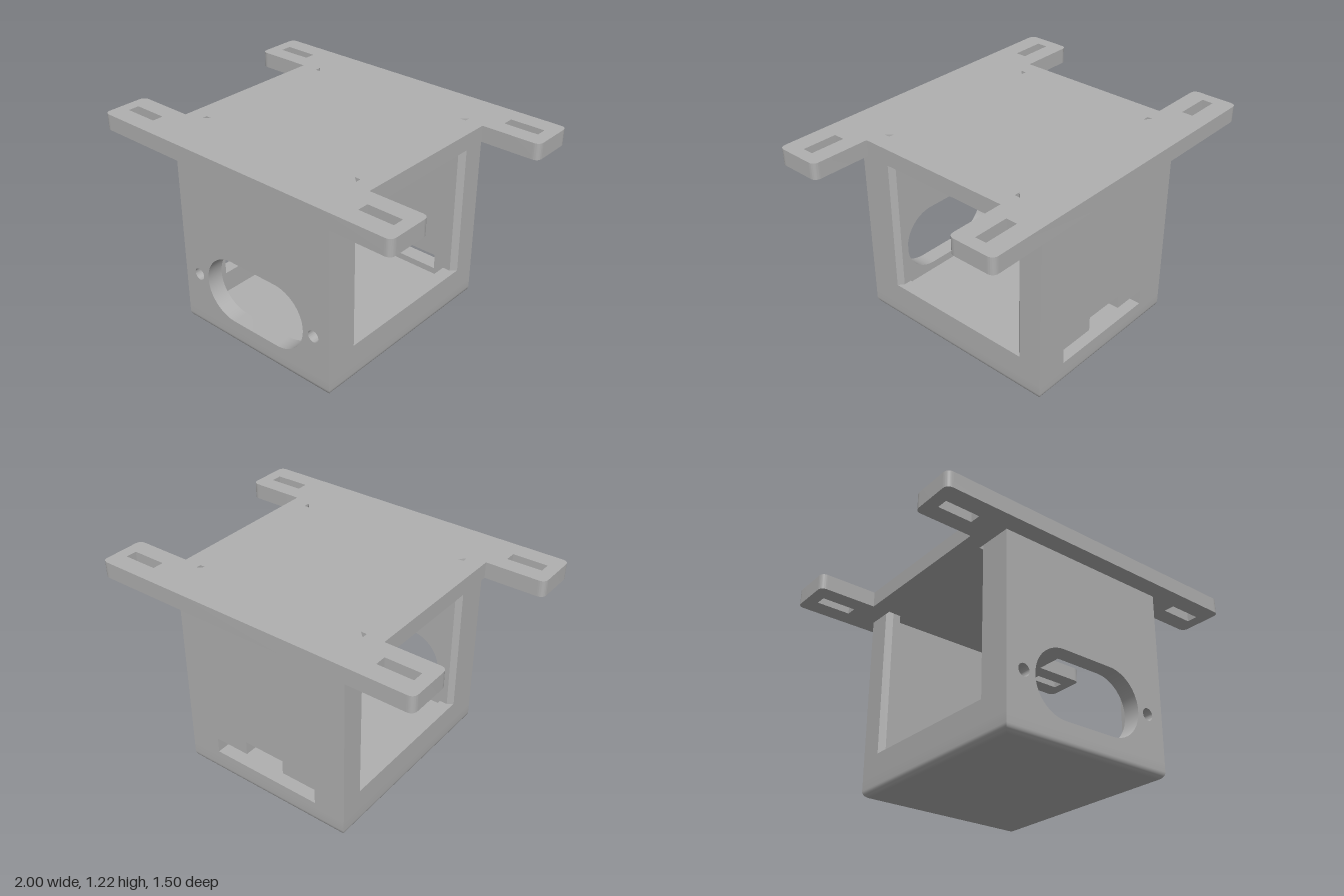
import * as THREE from 'three';
import { toCreasedNormals } from 'three/addons/utils/BufferGeometryUtils.js';

const W = 0.545, ZF = 0.645, ZB = -0.645;      // outer half width, front and back faces
const FLOOR = 0.1, SILL = 0.23, DECK = 1.125, TOP = 1.22;
const WALL = 0.1, SIDE = 0.08;                 // end wall and side wall thickness

const poly = (Type, pts) => new Type(pts.map(([x, y]) => new THREE.Vector2(x, y)));
const rect = (Type, x0, y0, x1, y1) => poly(Type, [[x0, y0], [x1, y0], [x1, y1], [x0, y1]]);

const circle = (x, y, r) => {
  const p = new THREE.Path();
  p.absarc(x, y, r, 0, Math.PI * 2);
  return p;
};

// Closed outline whose corners with a radius are rounded: [x, y, radius]
function roundedOutline(pts) {
  const s = new THREE.Shape();
  pts.forEach(([x, y, r = 0], i) => {
    const c = new THREE.Vector2(x, y);
    const toward = (q) => new THREE.Vector2(q[0], q[1]).sub(c).normalize().multiplyScalar(r).add(c);
    const a = toward(pts[(i + pts.length - 1) % pts.length]);
    const b = toward(pts[(i + 1) % pts.length]);
    if (i === 0) s.moveTo(a.x, a.y); else s.lineTo(a.x, a.y);
    if (r) s.quadraticCurveTo(x, y, b.x, b.y);
  });
  s.closePath();
  return s;
}

export function createModel() {
  const model = new THREE.Group();
  const grey = new THREE.MeshStandardMaterial({ color: 0xb0b0b0 });
  grey.name = 'grey plastic';

  const add = (name, geometry) => {
    const mesh = new THREE.Mesh(toCreasedNormals(geometry, 0.6), grey);
    mesh.name = name;
    model.add(mesh);
  };
  const extrude = (shape, depth) =>
    new THREE.ExtrudeGeometry(shape, { depth, bevelEnabled: false, curveSegments: 24 });
  // Shape drawn in x and z, standing between two heights
  const upright = (shape, y0, y1) =>
    extrude(shape, y1 - y0).rotateX(Math.PI / 2).translate(0, y1, 0);

  // Mounting plate with four slotted ears and small corner cut-outs
  const zb = -0.752, zf = 0.752, r = 0.04, nx = 0.65, nz = 0.475;
  const plate = roundedOutline([
    [-1, zb, r], [1, zb, r], [1, -nz, r], [nx, -nz], [nx, nz], [1, nz, r],
    [1, zf, r], [-1, zf, r], [-1, nz, r], [-nx, nz], [-nx, -nz], [-1, -nz, r],
  ]);
  for (const s of [-1, 1]) {
    for (const t of [-1, 1]) {
      const z = t * 0.61;
      plate.holes.push(rect(THREE.Path, s * 0.825 - 0.103, z - 0.033, s * 0.825 + 0.103, z + 0.033));
    }
    plate.holes.push(poly(THREE.Path, [[s * 0.51, 0.415], [s * W, 0.415], [s * W, 0.448]]));
    plate.holes.push(poly(THREE.Path, [[s * 0.51, -0.47], [s * W, -0.47], [s * W, -0.505]]));
  }
  add('mountingPlate', upright(plate, DECK, TOP));

  // Floor slab, its lower edges rounded by pulling the rings inward
  const floor = new THREE.BoxGeometry(2 * W, FLOOR, ZF - ZB, 1, 9, 1);
  floor.translate(0, FLOOR / 2, 0);
  const p = floor.attributes.position, R = 0.045;
  for (let i = 0; i < p.count; i++) {
    const ring = Math.round(p.getY(i) / FLOOR * 9);
    if (ring > 8) continue;
    const a = ring / 8 * Math.PI / 2;
    const inset = R * (1 - Math.sin(a));
    p.setXYZ(i, p.getX(i) - Math.sign(p.getX(i)) * inset, R * (1 - Math.cos(a)),
      p.getZ(i) - Math.sign(p.getZ(i)) * inset);
  }
  add('floor', floor.toNonIndexed());

  // Front wall with a stadium opening and two screw holes
  const front = rect(THREE.Shape, -W, FLOOR, W, DECK);
  const opening = new THREE.Path();
  opening.absarc(0.162, 0.35, 0.2, -Math.PI / 2, Math.PI / 2);
  opening.absarc(-0.162, 0.35, 0.2, Math.PI / 2, Math.PI * 1.5);
  opening.closePath();
  front.holes.push(opening, circle(-0.435, 0.35, 0.036), circle(0.435, 0.35, 0.036));
  add('frontWall', extrude(front, WALL).translate(0, 0, ZF - WALL));

  // Back wall with a stepped slot
  const back = rect(THREE.Shape, -W, FLOOR, W, DECK);
  back.holes.push(poly(THREE.Path, [
    [-0.35, 0.14], [0.35, 0.14], [0.35, 0.235], [0.13, 0.235],
    [0.13, 0.32], [-0.13, 0.32], [-0.13, 0.235], [-0.35, 0.235],
  ]));
  add('backWall', extrude(back, WALL).translate(0, 0, ZB));

  // Open sides: a low sill between two chamfered corner posts
  const zi = ZF - WALL, xi = W - SIDE;
  for (const s of [-1, 1]) {
    const side = s > 0 ? 'left' : 'right';
    const sill = new THREE.BoxGeometry(SIDE, SILL - FLOOR, 2 * zi);
    add(side + 'Sill', sill.translate(s * (W - SIDE / 2), (SILL + FLOOR) / 2, 0));
    const post = (outer, edge, end) => upright(poly(THREE.Shape, [
      [s * xi, end], [s * W, end], [s * W, outer], [s * 0.513, edge], [s * xi, edge],
    ]), SILL, DECK);
    add(side + 'FrontPost', post(0.448, 0.422, zi));
    add(side + 'BackPost', post(-0.503, -0.472, -zi));
  }
  return model;
}
